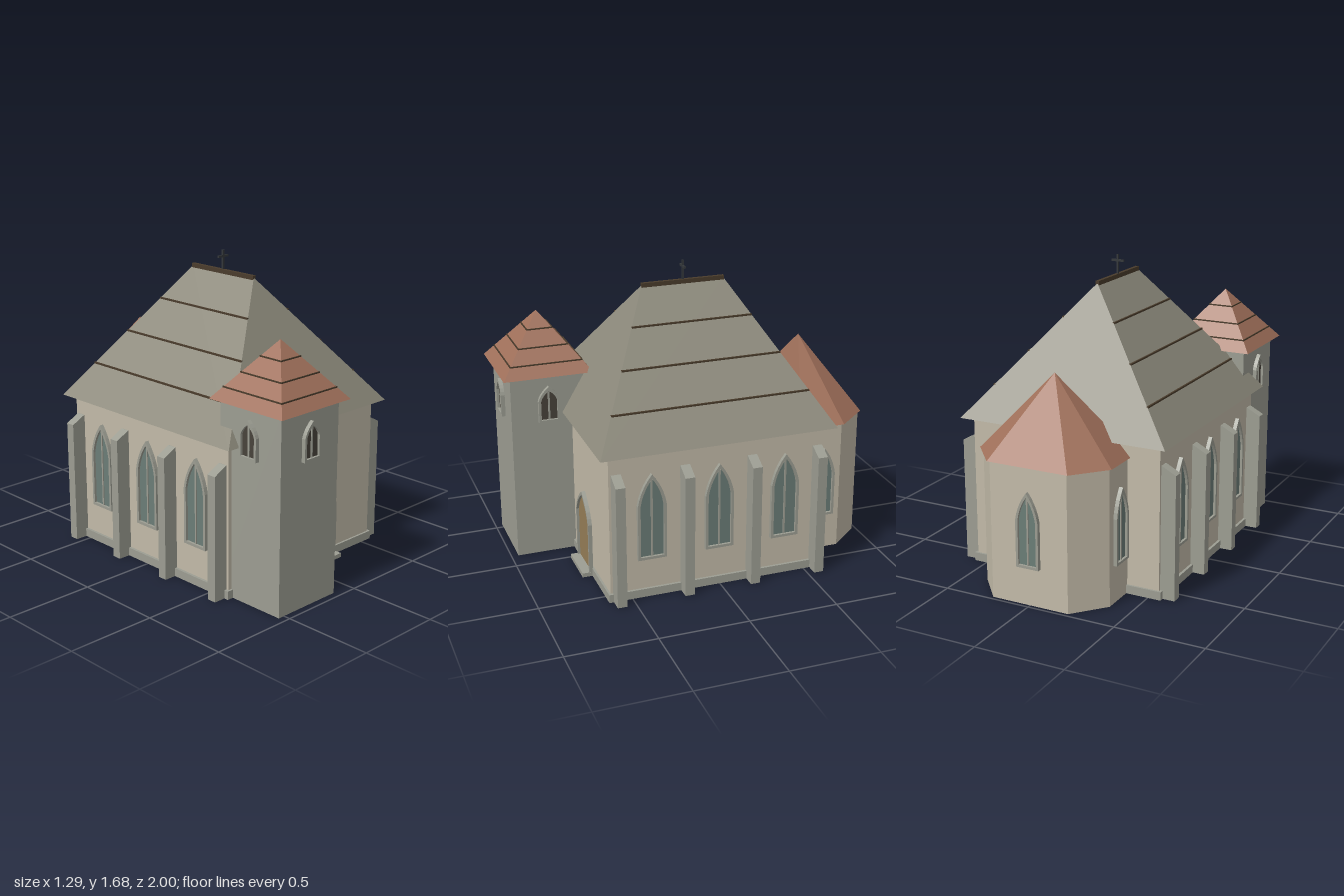
import * as THREE from 'three';
import { ConvexGeometry } from 'three/addons/geometries/ConvexGeometry.js';

const mat = (color) => new THREE.MeshStandardMaterial({ color, flatShading: true });
const wall = mat(0xc2baa8), stone = mat(0x9c9d92), slate = mat(0x8c897b), tile = mat(0xa0705a);
const glass = mat(0x6b7d77), dark = mat(0x48433b), batten = mat(0x4a3c2c), wood = mat(0x957d56), iron = mat(0x33373a);

function add(parent, name, geometry, material, x = 0, y = 0, z = 0) {
  const mesh = new THREE.Mesh(geometry, material);
  mesh.name = name;
  mesh.position.set(x, y, z);
  parent.add(mesh);
  return mesh;
}

// Box given by its lower and upper limits on each axis
function block(parent, name, material, [x0, x1], [y0, y1], [z0, z1]) {
  return add(parent, name, new THREE.BoxGeometry(x1 - x0, y1 - y0, z1 - z0), material,
    (x0 + x1) / 2, (y0 + y1) / 2, (z0 + z1) / 2);
}

const hull = (points) => new ConvexGeometry(points.map((p) => new THREE.Vector3(...p)));

// Pointed arch outline standing on y0, curving in from spring to top
function trace(path, w, y0, spring, top) {
  const mid = spring + (top - spring) * 0.55;
  path.moveTo(-w, y0);
  path.lineTo(w, y0);
  path.lineTo(w, spring);
  path.quadraticCurveTo(w * 0.8, mid, 0, top);
  path.quadraticCurveTo(-w * 0.8, mid, -w, spring);
  path.closePath();
  return path;
}

// Framed arched opening, facing +z before it is turned
function opening(parent, name, o, x, z, turn) {
  const group = new THREE.Group();
  group.name = name;
  group.position.set(x, 0, z);
  group.rotation.y = turn;
  const { w, y0, spring, top, rim, fill, mullion } = o;
  const extrude = (shape, depth) => new THREE.ExtrudeGeometry(shape, { depth, bevelEnabled: false, curveSegments: 5 });
  const frame = trace(new THREE.Shape(), w, y0, spring, top);
  frame.holes.push(trace(new THREE.Path(), w - rim, y0 + rim, spring, top - rim * 1.7));
  add(group, 'frame', extrude(frame, 0.022), stone);
  add(group, 'infill', extrude(trace(new THREE.Shape(), w - rim, y0 + rim, spring, top - rim * 1.7), 0.008), fill);
  if (mullion) block(group, 'mullion', stone, [-0.005, 0.005], [y0 + rim, top - rim * 2.2], [0.004, 0.014]);
  parent.add(group);
}

export function createModel() {
  const model = new THREE.Group();
  model.name = 'church';
  const cz = 0.007;

  // Nave
  block(model, 'naveWalls', wall, [-0.56, 0.56], [0, 0.845], [cz - 0.612, cz + 0.612]);
  block(model, 'plinth', stone, [-0.575, 0.575], [0, 0.047], [cz - 0.624, cz + 0.624]);

  // Hipped nave roof with battens and ridge cap
  const eave = 0.84, ridge = 1.56, ex = 0.612, ez = 0.666, rz = 0.235;
  const corners = [];
  for (const sx of [-1, 1]) for (const sz of [-1, 1]) corners.push([sx * ex, eave, cz + sz * ez]);
  add(model, 'naveRoof', hull([...corners, [0, ridge, cz - rz], [0, ridge, cz + rz]]), slate);
  for (const t of [0.25, 0.5, 0.75]) {
    const x = ex * (1 - t), y = eave + (ridge - eave) * t, z = ez + (rz - ez) * t;
    for (const s of [-1, 1]) {
      add(model, 'roofBatten', new THREE.BoxGeometry(0.012, 0.009, 2 * z), batten, s * x, y, cz);
    }
  }
  block(model, 'ridgeCap', batten, [-0.01, 0.01], [1.548, 1.572], [cz - 0.238, cz + 0.238]);

  // Roof cross
  block(model, 'crossPost', iron, [-0.005, 0.005], [1.56, 1.678], [cz - 0.005, cz + 0.005]);
  block(model, 'crossArm', iron, [-0.037, 0.037], [1.638, 1.65], [cz - 0.005, cz + 0.005]);

  // Buttresses and side windows
  const sideWindow = { w: 0.08, y0: 0.225, spring: 0.54, top: 0.717, rim: 0.015, fill: glass, mullion: true };
  for (const s of [-1, 1]) {
    for (let i = 0; i < 4; i++) {
      const z = cz + (i - 1.5) * 0.381, points = [];
      for (const dz of [-0.027, 0.027]) {
        for (const [x, y] of [[0.55, 0], [0.643, 0], [0.643, 0.693], [0.563, 0.735], [0.55, 0.735]]) {
          points.push([s * x, y, z + dz]);
        }
      }
      add(model, 'buttress', hull(points), stone);
      if (i < 3) opening(model, 'sideWindow', sideWindow, s * 0.56, z + 0.19, s * Math.PI / 2);
    }
  }

  // Front door and step
  opening(model, 'door', { w: 0.121, y0: 0.012, spring: 0.31, top: 0.463, rim: 0.012, fill: wood }, 0.133, 0.626, 0);
  block(model, 'doorStep', stone, [0.01, 0.256], [0, 0.024], [0.6, 0.687]);

  // Tower
  const tx = -0.328, tz = 0.75, th = 0.21, rh = 0.252;
  block(model, 'towerWalls', stone, [tx - th, tx + th], [0, 1.075], [tz - th, tz + th]);
  const towerRoof = new THREE.ConeGeometry(rh * Math.SQRT2, 0.31, 4).rotateY(Math.PI / 4);
  add(model, 'towerRoof', towerRoof, tile, tx, 1.225, tz);
  for (const y of [1.133, 1.21, 1.293]) {
    const side = 2 * (rh * (1.38 - y) / 0.31 + 0.003);
    add(model, 'towerBatten', new THREE.BoxGeometry(side, 0.007, side), batten, tx, y, tz);
  }
  const belfry = { w: 0.06, y0: 0.8, spring: 0.925, top: 1.008, rim: 0.014, fill: dark, mullion: true };
  for (const k of [-1, 0, 1]) {
    const a = k * Math.PI / 2;
    opening(model, 'towerWindow', belfry, tx + Math.sin(a) * th, tz + Math.cos(a) * th, a);
  }

  // Apse: half-octagon walls under a faceted pointed roof
  const apseWalls = [], apseRoof = [[0, 1.18, -0.692]];
  for (const s of [-1, 1]) {
    for (const [x, z] of [[0.225, -0.978], [0.374, -0.803], [0.374, -0.56]]) {
      apseWalls.push([s * x, 0, z], [s * x, 0.758, z]);
    }
    for (const [x, z] of [[0.235, -0.989], [0.39, -0.81], [0.39, -0.548]]) apseRoof.push([s * x, 0.755, z]);
  }
  add(model, 'apseWalls', hull(apseWalls), wall);
  add(model, 'apseRoof', hull(apseRoof), tile);
  const apseWindow = { w: 0.066, y0: 0.213, spring: 0.47, top: 0.625, rim: 0.014, fill: glass, mullion: true };
  opening(model, 'apseWindow', apseWindow, 0, -0.978, Math.PI);
  for (const s of [-1, 1]) opening(model, 'apseWindow', apseWindow, s * 0.374, -0.697, s * Math.PI / 2);

  return model;
}
